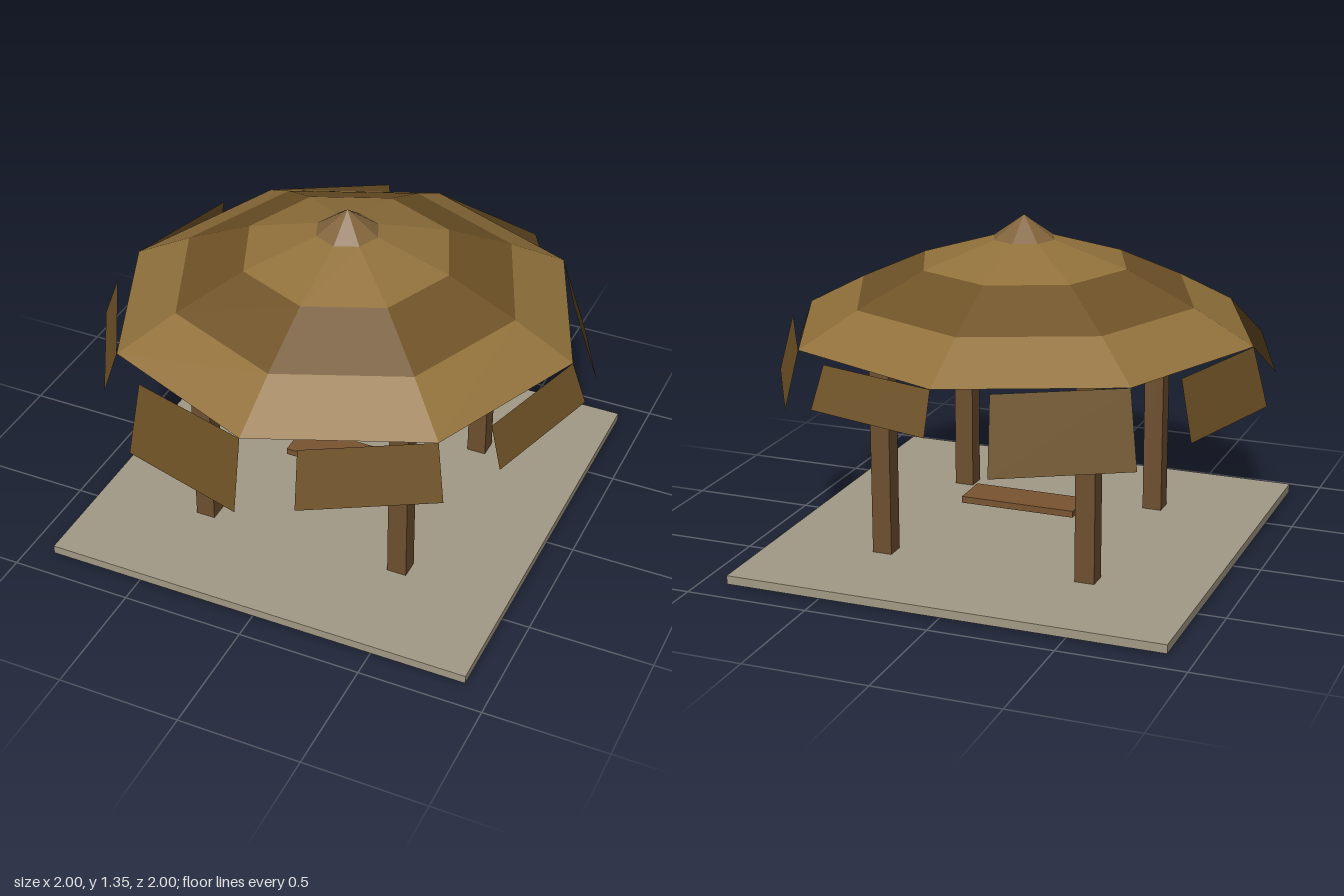
import * as THREE from 'three';

const mat = (color, side = THREE.FrontSide) =>
  new THREE.MeshStandardMaterial({ color, side, flatShading: true });

export function createModel() {
  const model = new THREE.Group();
  const lightThatch = mat(0x92723c, THREE.DoubleSide);
  const darkThatch = mat(0x705327, THREE.DoubleSide);
  const capThatch = mat(0x80633a, THREE.DoubleSide);
  const stone = mat(0xa39a86);
  const wood = mat(0x6e5030);
  const plank = mat(0x7a5430);

  const add = (name, geometry, material, x = 0, y = 0, z = 0) => {
    const mesh = new THREE.Mesh(geometry, material);
    mesh.name = name;
    mesh.position.set(x, y, z);
    model.add(mesh);
  };

  // Paved floor
  add('floor', new THREE.BoxGeometry(1.78, 0.035, 1.78), stone, 0, 0.0225, 0);

  // Four square posts, ending under the roof
  const postHeight = 1.02;
  for (const x of [-0.425, 0.425])
    for (const z of [-0.425, 0.425])
      add('post', new THREE.BoxGeometry(0.08, postHeight, 0.08), wood, x, postHeight / 2, z);

  // Low bench board in the middle
  add('bench', new THREE.BoxGeometry(0.48, 0.027, 0.165), plank, 0, 0.158, 0);

  // Octagonal thatch bands, open underneath: [radius, height] from eave to peak
  const rings = [[0.94, 0.91], [0.7, 1.04], [0.425, 1.168], [0.128, 1.26], [0, 1.352]];
  const bandMaterials = [lightThatch, darkThatch, lightThatch, capThatch];
  bandMaterials.forEach((material, i) => {
    const [r0, y0] = rings[i], [r1, y1] = rings[i + 1];
    const band = new THREE.CylinderGeometry(r1, r0, y1 - y0, 8, 1, true);
    add(i === 3 ? 'roofCap' : 'roofBand', band, material, 0, (y0 + y1) / 2, 0);
  });

  // Flared thatch flaps hanging from the eave, in three lengths
  const bottoms = [0.745, 0.677, 0.61];
  for (let i = 0; i < 8; i++) {
    const a = i * Math.PI / 4, b = a + 0.55;
    const corner = (angle, r, y) => [r * Math.cos(angle), y, r * Math.sin(angle)];
    const low = bottoms[i % 3];
    const flap = new THREE.BufferGeometry();
    flap.setAttribute('position', new THREE.Float32BufferAttribute([
      ...corner(a, 0.94, 0.91), ...corner(b, 0.94, 0.91),
      ...corner(b, 1, low), ...corner(a, 1, low),
    ], 3));
    flap.setIndex([0, 1, 2, 0, 2, 3]);
    flap.computeVertexNormals();
    add('eaveFlap', flap, darkThatch);
  }
  return model;
}
